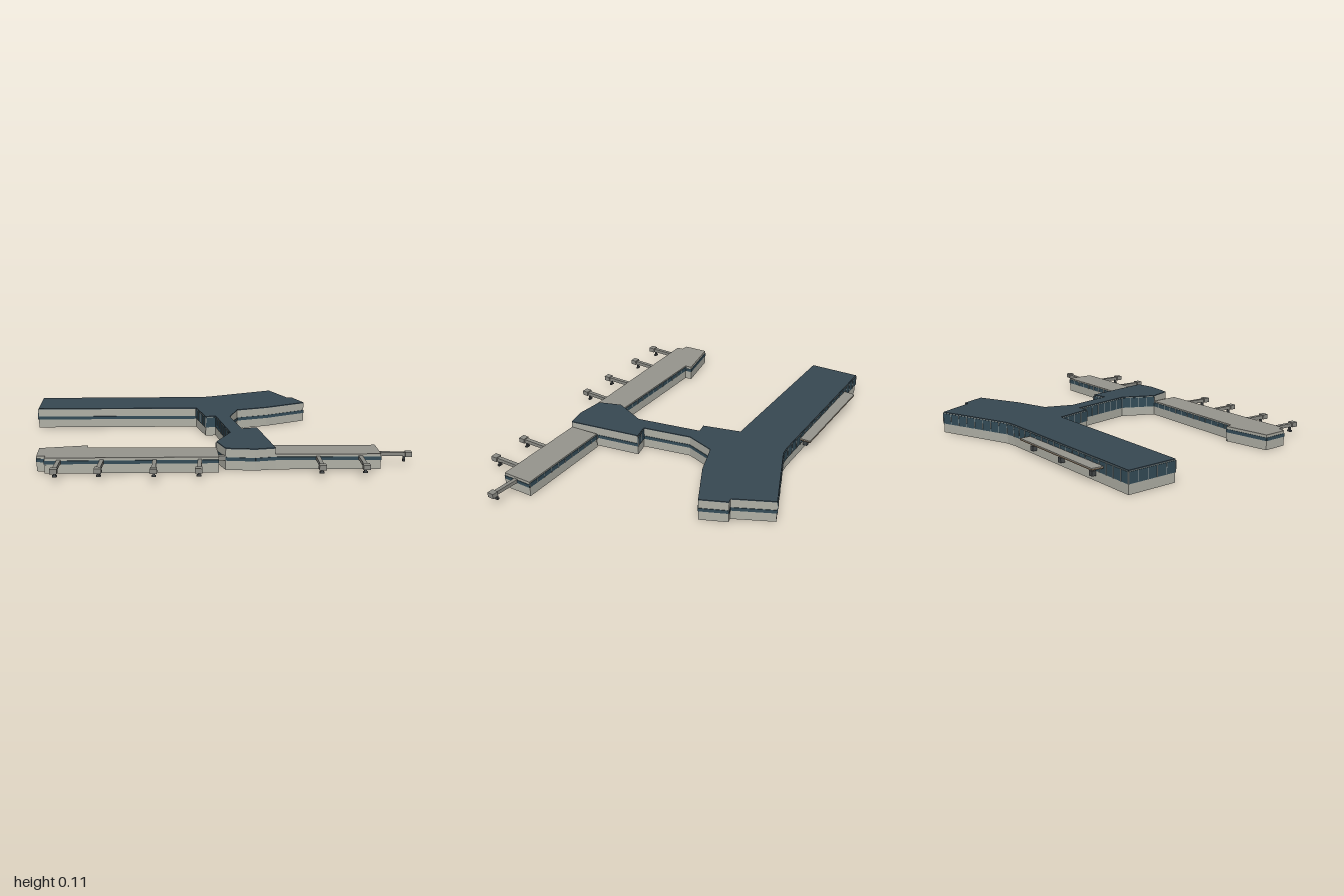
import * as THREE from 'three';

const mat = (name, color) => {
  const m = new THREE.MeshStandardMaterial({ color });
  m.name = name;
  return m;
};

export function createModel() {
  const wall = mat('wall', 0xb0b0a6);
  const darkRoof = mat('darkRoof', 0x374852);
  const greyRoof = mat('greyRoof', 0x96958d);
  const glass = mat('glass', 0x344c58);
  const mullion = mat('mullion', 0x9aa3a3);
  const bridge = mat('bridge', 0x8c8c86);
  const steel = mat('steel', 0x44484a);
  const brown = mat('brown', 0x6b5a48);

  const model = new THREE.Group();
  model.name = 'terminal';

  const addBox = (parent, name, size, pos, material) => {
    const m = new THREE.Mesh(new THREE.BoxGeometry(...size), material);
    m.name = name;
    m.position.set(...pos);
    parent.add(m);
    return m;
  };

  // Group whose +x runs from a to b and whose -z points out of a clockwise plan
  const along = (parent, name, [ax, az], [bx, bz]) => {
    const g = new THREE.Group();
    g.name = name;
    g.position.set(ax, 0, az);
    g.rotation.y = Math.atan2(-(bz - az), bx - ax);
    parent.add(g);
    return { g, len: Math.hypot(bx - ax, bz - az) };
  };

  // Flat slab over a plan outline of [x, z] points
  const slab = (parent, name, plan, y0, y1, material) => {
    const shape = new THREE.Shape(plan.map(([x, z]) => new THREE.Vector2(x, -z)));
    const geo = new THREE.ExtrudeGeometry(shape, { depth: y1 - y0, bevelEnabled: false });
    geo.rotateX(-Math.PI / 2);
    const m = new THREE.Mesh(geo, material);
    m.name = name;
    m.position.y = y0;
    parent.add(m);
  };

  // Hollow building: wall panels, window bands or curtain walls, and a roof
  const building = (name, plan, height, roofMat, glazed, plain = []) => {
    const b = new THREE.Group();
    b.name = name;
    model.add(b);
    const eave = height - 0.005;
    plan.forEach((p, i) => {
      const { g, len } = along(b, 'wallSide', p, plan[(i + 1) % plan.length]);
      addBox(g, 'wallPanel', [len, eave, 0.008], [len / 2, eave / 2, 0.004], wall);
      if (plain.includes(i)) return;
      const curtain = glazed.includes(i);
      const [y0, y1] = curtain ? [0.048, eave - 0.002] : [0.047, 0.064];
      const h = y1 - y0, y = (y0 + y1) / 2;
      addBox(g, curtain ? 'curtainWall' : 'windowBand', [len, h, 0.005], [len / 2, y, 0], glass);
      if (curtain) {
        const n = Math.max(1, Math.round(len / 0.05));
        for (let k = 0; k <= n; k++)
          addBox(g, 'mullion', [0.003, h, 0.003], [(k / n) * len, y, -0.003], mullion);
      }
    });
    slab(b, 'roof', plan, eave, height, roofMat);
  };

  // Main hall with the connector and the hub between the piers
  building('mainHall', [
    [-0.45, -0.79], [-0.295, -1], [0.44, -0.45], [0.49, -0.42], [0.895, -0.31],
    [0.85, -0.105], [0.875, -0.095], [0.84, 0.04], [0.59, -0.01], [0.42, -0.07],
    [0.29, 0.015], [0.175, 0.24], [0.25, 0.275], [0.07, 0.605], [-0.02, 0.56],
    [-0.125, 0.46], [-0.085, 0.345], [0.08, 0.26], [0.235, -0.04], [0.185, -0.065],
    [0.265, -0.245],
  ], 0.11, darkRoof, [0, 1, 2, 3, 11, 16, 17, 18, 19]);

  // Gate piers
  building('westPier', [
    [-0.855, -0.09], [-0.78, -0.195], [-0.565, -0.085], [-0.585, -0.055],
    [-0.085, 0.345], [-0.175, 0.47], [-0.845, -0.035], [-0.825, -0.06],
  ], 0.078, greyRoof, [3], [4]);
  building('eastPier', [
    [0.07, 0.605], [0.155, 0.48], [0.57, 0.80], [0.475, 0.92],
  ], 0.078, greyRoof, [1], [0]);

  // Boarding bridges: tunnel, cab and support leg
  const bridges = [
    [[-0.78, -0.005], [-0.88, 0.115]], [[-0.62, 0.125], [-0.715, 0.235]],
    [[-0.42, 0.28], [-0.515, 0.4]], [[-0.24, 0.405], [-0.345, 0.525]],
    [[0.235, 0.73], [0.14, 0.85]], [[0.4, 0.855], [0.305, 0.975]],
    [[0.515, 0.865], [0.625, 0.965]],
  ];
  for (const [a, b] of bridges) {
    const { g, len } = along(model, 'boardingBridge', a, b);
    addBox(g, 'tunnel', [len, 0.018, 0.02], [len / 2, 0.059, 0], bridge);
    addBox(g, 'cab', [0.032, 0.024, 0.034], [len, 0.06, 0], bridge);
    addBox(g, 'leg', [0.01, 0.026, 0.012], [len - 0.02, 0.037, 0], steel);
    addBox(g, 'wheels', [0.012, 0.008, 0.022], [len - 0.02, 0.027, 0], steel);
  }

  // Short link between the hub and the west pier
  const link = along(model, 'pierLink', [-0.15, 0.425], [-0.1, 0.46]);
  addBox(link.g, 'linkTunnel', [link.len, 0.022, 0.03], [link.len / 2, 0.059, 0], bridge);

  // Entrance canopy along the rear of the hall
  const canopyPlan = [[-0.16, -0.895], [-0.115, -0.942], [0.355, -0.585], [0.318, -0.537]];
  slab(model, 'canopySoffit', canopyPlan, 0.074, 0.08, brown);
  slab(model, 'canopyTop', canopyPlan, 0.08, 0.084, greyRoof);
  for (const [x, z] of [[0.285, -0.577], [0.095, -0.718], [-0.1, -0.863]]) {
    const { g } = along(model, 'entrancePorch', [x, z], [x + 0.74, z + 0.55]);
    addBox(g, 'porch', [0.022, 0.024, 0.022], [0, 0.038, -0.006], steel);
  }
  return model;
}
